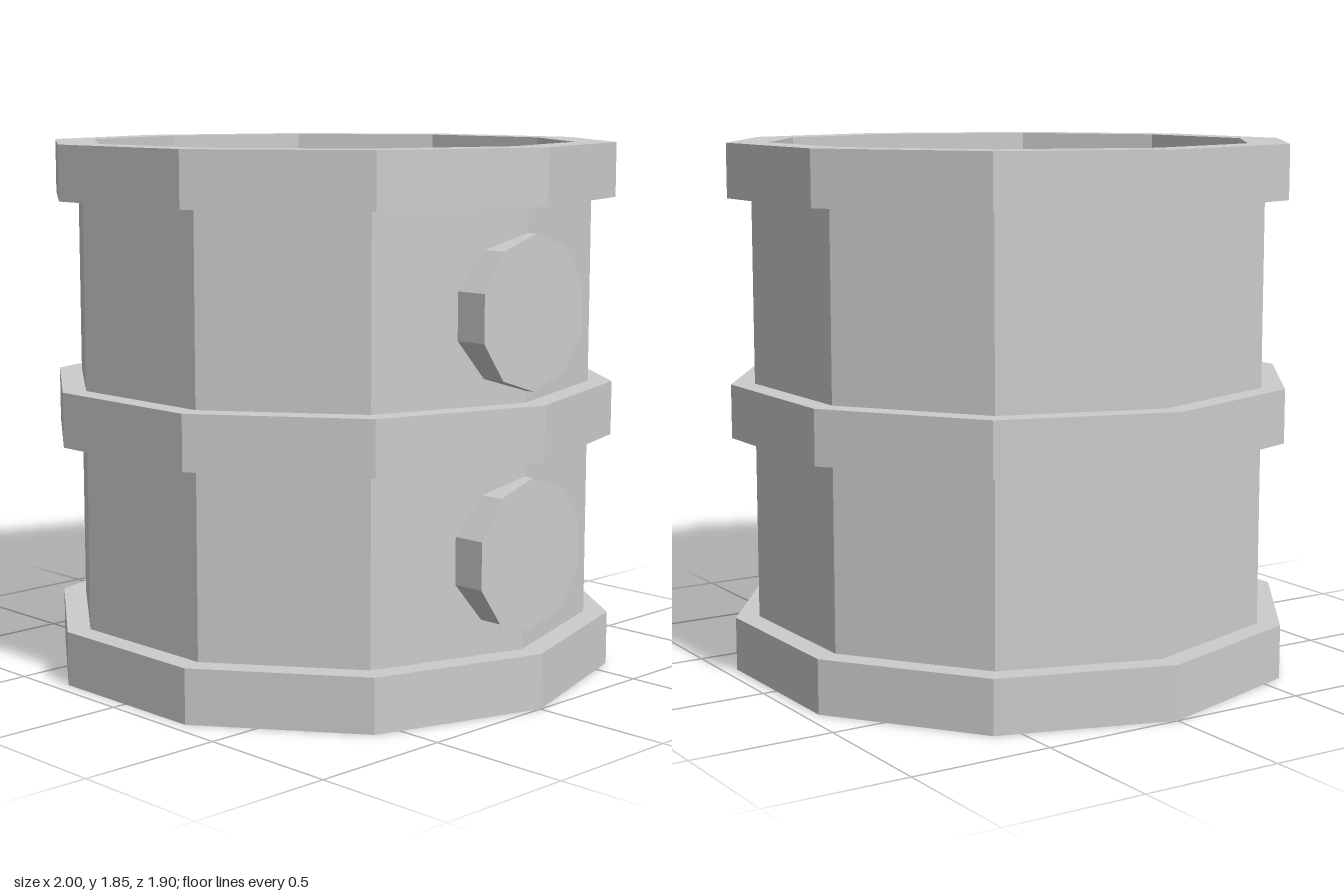
import * as THREE from 'three';

const SIDES = 10;
const HEIGHT = 1.846;
const INNER = 0.855, WALL = 0.917, HOOP = 1;

export function createModel() {
  const group = new THREE.Group();
  const material = new THREE.MeshStandardMaterial({ color: 0xcccccc, flatShading: true });

  const add = (name, geometry) => {
    const mesh = new THREE.Mesh(geometry, material);
    mesh.name = name;
    group.add(mesh);
    return mesh;
  };

  // Ten-sided ring with corners on the x axis
  const ring = (points) => new THREE.LatheGeometry(
    points.map(([r, y]) => new THREE.Vector2(r, y)), SIDES, Math.PI / 2);

  // Open-ended barrel wall: outside, rims and inside
  add('barrelWall', ring([
    [INNER, 0], [WALL, 0], [WALL, HEIGHT], [INNER, HEIGHT], [INNER, 0],
  ]));

  // Raised hoops at the bottom, middle and top
  const hoops = { bottomHoop: [0, 0.188], middleHoop: [0.829, 1.017], topHoop: [1.658, HEIGHT] };
  for (const [name, [y0, y1]] of Object.entries(hoops)) {
    add(name, ring([[WALL, y0], [HOOP, y0], [HOOP, y1], [WALL, y1]]));
  }

  // Two plugs set through the corner on the left side
  const plugBack = 0.836, plugFront = 0.951;
  for (const [name, y] of [['lowerPlug', 0.515], ['upperPlug', 1.313]]) {
    const plug = add(name, new THREE.CylinderGeometry(
      0.257, 0.257, plugFront - plugBack, SIDES, 1, false, Math.PI / 2));
    plug.rotation.z = -Math.PI / 2;
    plug.position.set((plugBack + plugFront) / 2, y, 0);
  }

  return group;
}
